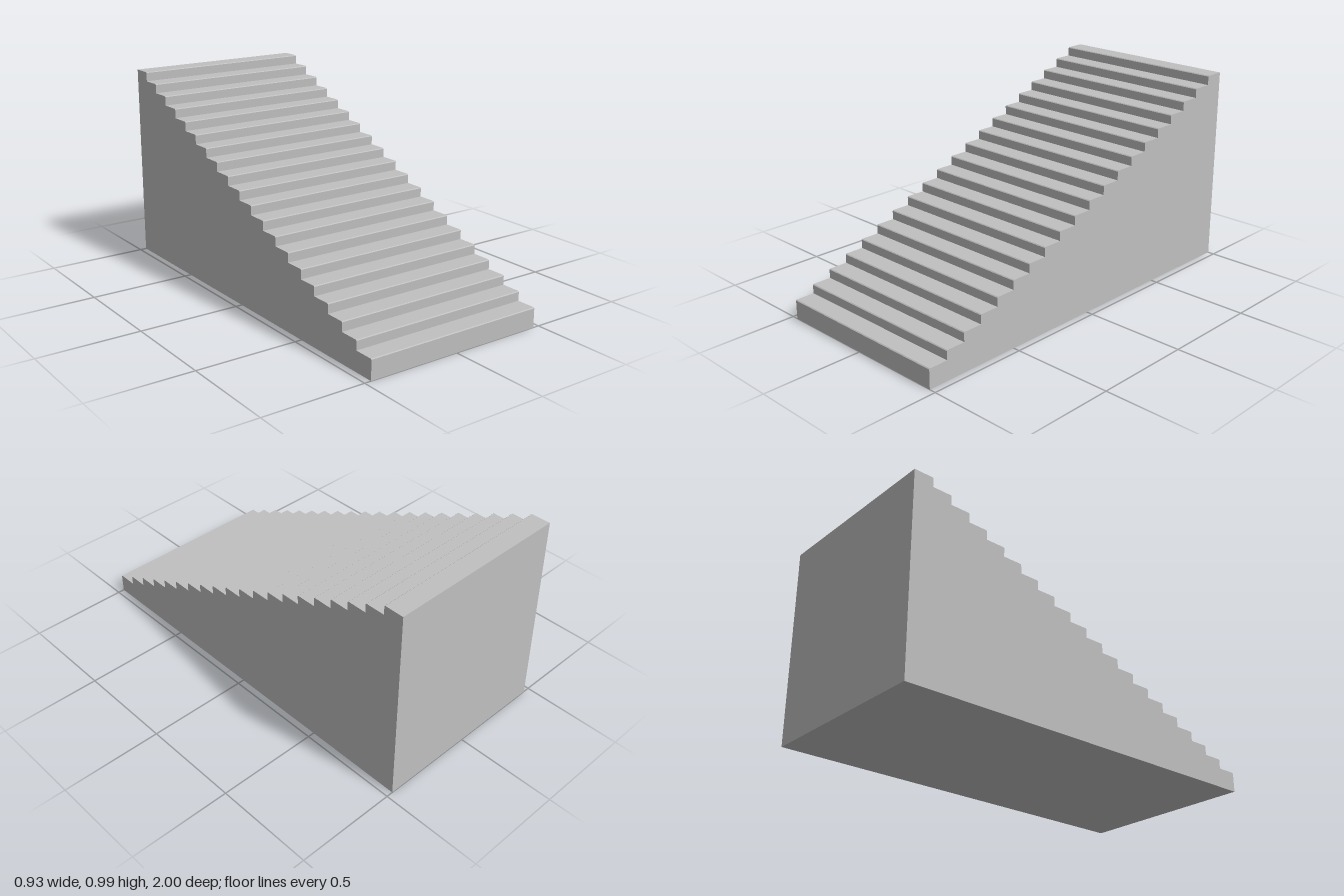
import * as THREE from 'three';

const STEPS = 20, RUN = 0.1, RISE = 0.047, FIRST = 0.098, WIDTH = 0.934, NOSE = 0.004;

export function createModel() {
  const model = new THREE.Group();
  model.name = 'staircase';
  const stone = new THREE.MeshStandardMaterial({ color: 0xc0c0c0 });
  stone.name = 'grey stone';

  // Side profile: solid base with a stepped top, each nosing slightly chamfered
  const profile = new THREE.Shape();
  profile.moveTo(-1, 0);
  for (let i = 0; i < STEPS; i++) {
    const front = -1 + i * RUN, top = FIRST + i * RISE;
    profile.lineTo(front, top - NOSE);
    profile.lineTo(front + NOSE, top);
    profile.lineTo(front + RUN, top);
  }
  profile.lineTo(1, 0);
  profile.closePath();

  // Extrude across the width and turn so the low end faces +z
  const geometry = new THREE.ExtrudeGeometry(profile, { depth: WIDTH, bevelEnabled: false });
  geometry.translate(0, 0, -WIDTH / 2);
  geometry.rotateY(Math.PI / 2);
  const stairs = new THREE.Mesh(geometry, stone);
  stairs.name = 'solidSteps';
  model.add(stairs);
  return model;
}
